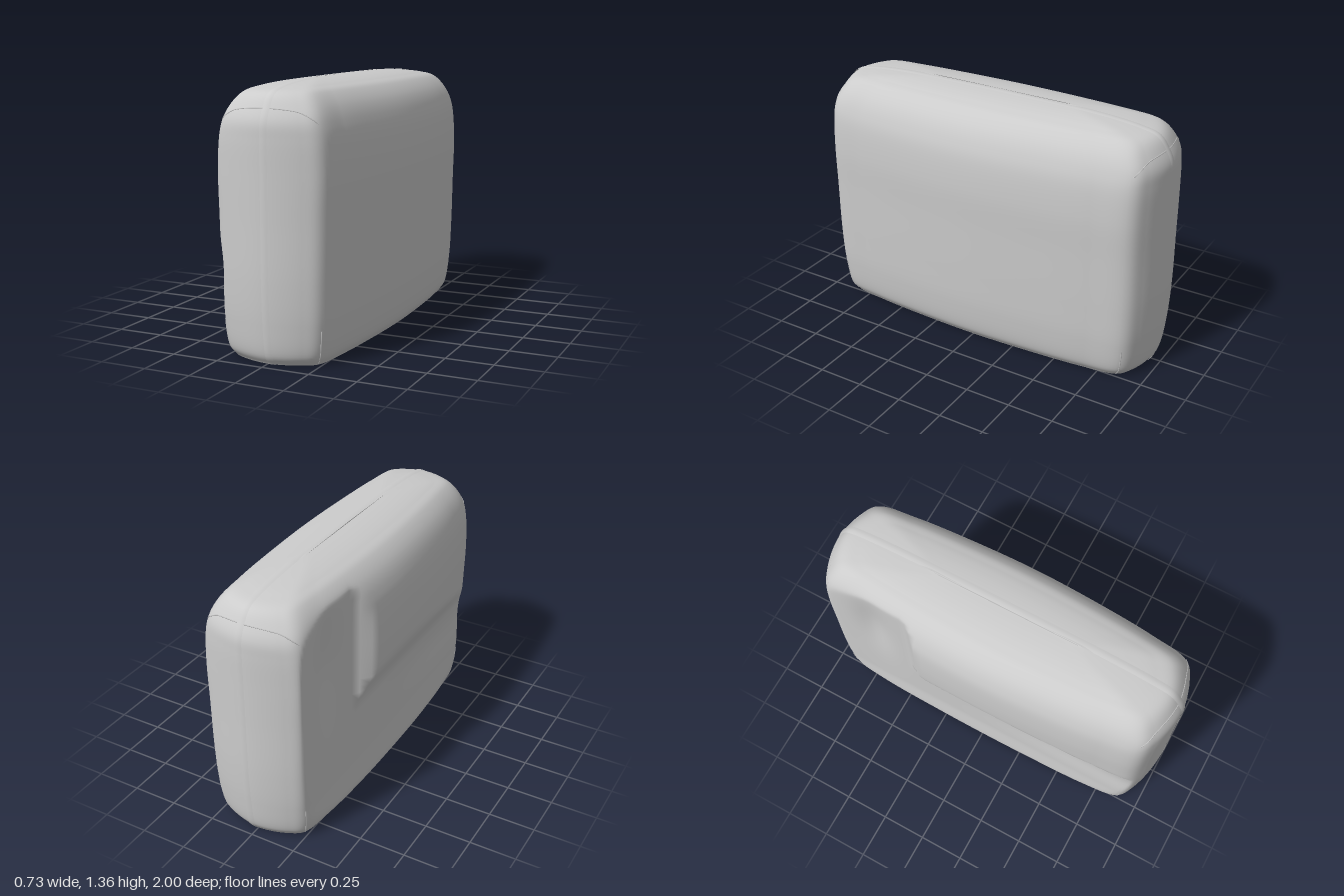
import * as THREE from 'three';
import { ParametricGeometry } from 'three/addons/geometries/ParametricGeometry.js';

// Plan outline, quarter: x half width against z, front middle to side middle
const quarter = [[0, 0.997], [0.2, 0.955], [0.285, 0.9], [0.325, 0.7], [0.352, 0.4], [0.367, 0]];
const back = quarter.slice(0, -1).reverse().map(([x, z]) => [x, -z]);
const half = [...quarter, ...back];
const ring = [...half, ...half.slice(1, -1).reverse().map(([x, z]) => [-x, z])];
const outline = new THREE.CatmullRomCurve3(ring.map(([x, z]) => new THREE.Vector3(x, 0, z)), true);

// Levels: width scale, height, length scale
const levels = [
  [0.8, 0, 0.94], [0.88, 0.05, 0.97], [0.94, 0.2, 0.99], [0.965, 0.4, 1], [0.985, 0.7, 1],
  [1, 0.92, 1], [0.965, 1.09, 1], [0.905, 1.17, 0.995], [0.81, 1.24, 0.965], [0.64, 1.305, 0.91],
  [0.48, 1.33, 0.81], [0.33, 1.344, 0.68], [0.16, 1.353, 0.52], [0.01, 1.357, 0.42],
];
const profile = new THREE.CatmullRomCurve3(levels.map((p) => new THREE.Vector3(...p)));
const LAST = levels.length - 1;
const a = new THREE.Vector3(), b = new THREE.Vector3();

// How far the slack -x side may stand out: hollow below and towards the back
function slackLimit(y, z) {
  const low = 1 - THREE.MathUtils.smoothstep(y, 0.5, 0.8);
  const rear = 1 - THREE.MathUtils.smoothstep(z, -0.45, -0.3);
  const dent = 0.035 * Math.exp(-(((z + 0.66) / 0.1) ** 2) - ((y - 0.9) / 0.3) ** 2);
  const fold = 0.02 * Math.exp(-(((y - 0.42) / 0.14) ** 2)) * THREE.MathUtils.smoothstep(z, -0.2, 0.6);
  const foot = 0.015 * (1 - THREE.MathUtils.smoothstep(y, 0, 0.2));
  return 0.37 - 0.098 * Math.max(low, rear) - dent - fold + foot;
}

// Point on the cover: u runs round the plan, v from the hem to the crown
function surface(u, v, target) {
  outline.getPoint(u, a);
  profile.getPoint(v, b);
  let x = a.x * b.x;
  const z = a.z * b.z;
  if (x < 0) {
    // soft minimum
    const d = -x - slackLimit(b.y, z), k = 0.012;
    x += 0.5 * (d + Math.sqrt(d * d + k * k)) * Math.min(1, -x / 0.1);
  }
  return target.set(x, b.y, z);
}

export function createModel() {
  const group = new THREE.Group();
  const material = new THREE.MeshStandardMaterial({ color: 0xcccccc, side: THREE.DoubleSide });
  const add = (name, geometry) => {
    const mesh = new THREE.Mesh(geometry, material);
    mesh.name = name;
    group.add(mesh);
    return mesh;
  };

  add('softCover', new ParametricGeometry(surface, 160, 90));

  // Flat underside
  const rim = [];
  for (let i = 0; i < 160; i++) {
    const p = surface(i / 160, 0, new THREE.Vector3());
    rim.push(new THREE.Vector2(p.x, p.z));
  }
  add('underside', new THREE.ShapeGeometry(new THREE.Shape(rim)).rotateX(Math.PI / 2));

  // Raised band up the front, over the crown and down the back
  add('centreBand', new ParametricGeometry((u, v, target) => {
    const side = v < 0.5 ? 1 : -1;
    profile.getPoint(1 - Math.abs(2 * v - 1), b);
    const lift = 0.001 + 0.002 * Math.sin(Math.PI * u);
    const k = 1 - Math.abs(2 * v - 1);
    const across = k * LAST > LAST - 1 ? (k * LAST - LAST + 1) : 0;
    const z = 0.997 * b.z * (1 - across) + side * lift;
    target.set(0.04 * u, b.y + lift * Math.min(1, b.y), side === 1 ? z : -0.997 * b.z * (1 - across) - lift);
  }, 6, 160));

  // Stitched seams at the end edges
  const seam = (name, path) => {
    const points = [];
    for (let i = 0; i <= 16; i++) points.push(surface(...path(i / 16), new THREE.Vector3()));
    add(name, new THREE.TubeGeometry(new THREE.CatmullRomCurve3(points), 32, 0.003, 5));
  };
  for (const [end, mid] of [['front', 0], ['back', 0.5]]) {
    seam(end + 'TopSeam', (t) => {
      const s = 2 * t - 1;
      return [mid + s * 0.1, (8 - s * s) / LAST];
    });
    for (const s of [-1, 1]) {
      seam(end + 'CornerSeam', (t) => [mid + s * 0.1, (0.1 + 1.8 * t) / LAST]);
    }
  }
  return group;
}
